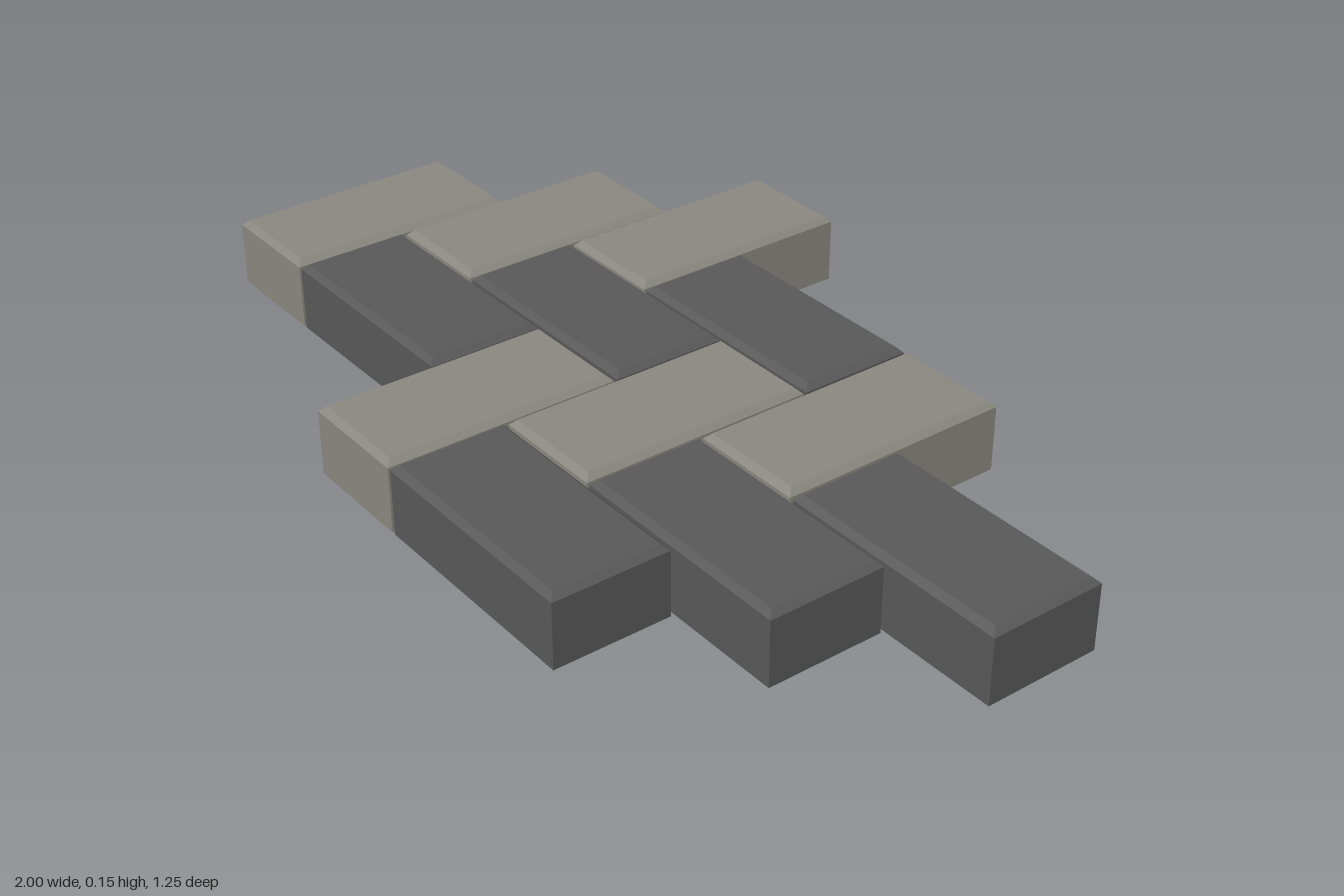
import * as THREE from 'three';

const GAP = 0.008, CELL = (2 + GAP) / 8; // paving grid: 8 columns by 5 rows
const HEIGHT = 0.148, BEVEL = 0.012;

// Block with a square base and a chamfered top edge
function brickGeometry(width, depth) {
  const box = new THREE.BoxGeometry(width, HEIGHT, depth, 1, 2, 1);
  const p = box.attributes.position;
  for (let i = 0; i < p.count; i++) {
    const y = p.getY(i);
    if (y > 0.01) {
      p.setX(i, p.getX(i) - Math.sign(p.getX(i)) * BEVEL);
      p.setZ(i, p.getZ(i) - Math.sign(p.getZ(i)) * BEVEL);
    } else if (y > -0.01) {
      p.setY(i, HEIGHT / 2 - BEVEL);
    }
  }
  box.translate(0, HEIGHT / 2, 0);
  const flat = box.toNonIndexed();
  flat.computeVertexNormals();
  return flat;
}

export function createModel() {
  const group = new THREE.Group();
  group.name = 'herringbonePaving';

  const lightStone = new THREE.MeshStandardMaterial({ color: 0x8a8880 });
  lightStone.name = 'lightStone';
  const darkStone = new THREE.MeshStandardMaterial({ color: 0x595959 });
  darkStone.name = 'darkStone';

  const long = 2 * CELL - GAP, short = CELL - GAP;
  const uprightGeometry = brickGeometry(short, long);
  const crossGeometry = brickGeometry(long, short);

  // First column and row of each brick on the grid
  const upright = [[0, 2], [1, 1], [2, 0], [3, 3], [4, 2], [5, 1]];
  const cross = [[1, 3], [2, 2], [3, 1], [4, 4], [5, 3], [6, 2]];

  const lay = (cells, name, geometry, material, width, depth) => {
    cells.forEach(([col, row], i) => {
      const brick = new THREE.Mesh(geometry, material);
      brick.name = name + (i + 1);
      brick.position.set(
        -1 + col * CELL + width / 2,
        0,
        -(5 * CELL - GAP) / 2 + row * CELL + depth / 2
      );
      group.add(brick);
    });
  };
  lay(upright, 'lightBrick', uprightGeometry, lightStone, short, long);
  lay(cross, 'darkBrick', crossGeometry, darkStone, long, short);

  return group;
}
